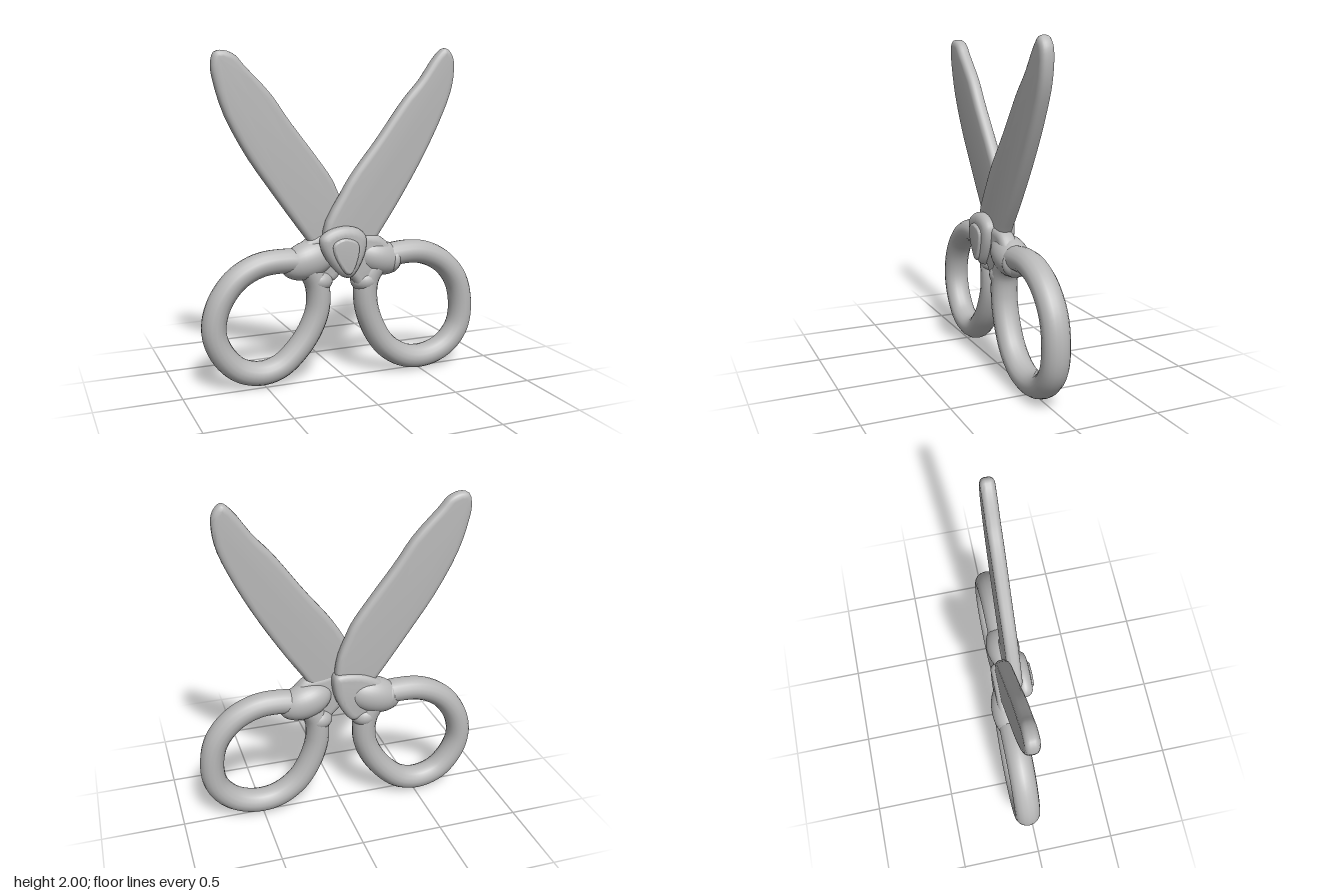
import * as THREE from 'three';
import { toCreasedNormals } from 'three/addons/utils/BufferGeometryUtils.js';

const metal = new THREE.MeshStandardMaterial({ color: 0xb8b8b8 });
metal.name = 'grey metal';

// Closed smooth curve through [x, y] pairs
const loop = (pts) => new THREE.CatmullRomCurve3(
  pts.map(([x, y]) => new THREE.Vector3(x, y, 0)), true, 'centripetal');

function add(group, name, geometry) {
  const mesh = new THREE.Mesh(geometry, metal);
  mesh.name = name;
  group.add(mesh);
  return mesh;
}

// Rounded plate filling the outline between z0 and z1
function plate(group, name, pts, z0, z1, round, bevel) {
  const outline = loop(pts).getPoints(56).slice(0, -1).map((p) => new THREE.Vector2(p.x, p.y));
  const geo = new THREE.ExtrudeGeometry(new THREE.Shape(outline), {
    depth: z1 - z0 - 2 * bevel, bevelThickness: bevel, bevelSize: round,
    bevelOffset: -round, bevelSegments: 4, steps: 1,
  });
  geo.translate(0, 0, z0 + bevel);
  return add(group, name, toCreasedNormals(geo, 1.1));
}

// Finger ring swept along a closed path
function ring(group, pts, z) {
  const geo = new THREE.TubeGeometry(loop(pts), 72, 0.073, 16, true);
  geo.scale(1, 1, 1.1);
  geo.translate(0, 0, z);
  return add(group, 'fingerRing', geo);
}

// Swollen joint between ring and blade
function lump(group, name, pos, size, tilt) {
  const mesh = add(group, name, new THREE.SphereGeometry(1, 28, 18));
  mesh.position.set(...pos);
  mesh.scale.set(...size);
  mesh.rotation.z = tilt;
  return mesh;
}

export function createModel() {
  const model = new THREE.Group();
  model.name = 'scissors';

  // Front half: blade leaning to +x
  const front = new THREE.Group();
  front.name = 'frontHalf';
  plate(front, 'blade', [
    [0.645, 2.0], [0.59, 1.96], [0.48, 1.81], [0.38, 1.7], [0.2, 1.46], [0.04, 1.26],
    [-0.03, 1.15], [-0.14, 0.94], [-0.12, 0.82], [0.0, 0.74], [0.13, 0.78], [0.2, 0.88],
    [0.33, 1.07], [0.49, 1.33], [0.62, 1.58], [0.69, 1.76], [0.705, 1.9], [0.69, 1.96],
  ], -0.015, 0.067, 0.035, 0.028);
  plate(front, 'shank', [
    [-0.08, 0.92], [0.1, 0.9], [0.21, 0.88], [0.29, 0.81], [0.36, 0.78], [0.33, 0.7],
    [0.2, 0.66], [0.08, 0.58], [0.03, 0.63], [-0.04, 0.7], [-0.12, 0.82],
  ], -0.02, 0.085, 0.04, 0.035);
  ring(front, [
    [0.8, 0.38], [0.765, 0.55], [0.66, 0.68], [0.52, 0.75], [0.37, 0.76], [0.24, 0.73],
    [0.15, 0.63], [0.135, 0.48], [0.18, 0.32], [0.27, 0.18], [0.4, 0.095], [0.54, 0.08],
    [0.68, 0.13], [0.775, 0.24],
  ], 0.015);
  lump(front, 'joint', [0.21, 0.745, 0.01], [0.17, 0.11, 0.105], -0.3);
  lump(front, 'collar', [0.31, 0.725, 0.02], [0.045, 0.085, 0.085], -0.15);
  lump(front, 'collar', [0.125, 0.61, 0.015], [0.085, 0.07, 0.085], 0.1);
  model.add(front);

  // Rear half: blade leaning to -x
  const rear = new THREE.Group();
  rear.name = 'rearHalf';
  plate(rear, 'blade', [
    [-0.71, 1.975], [-0.76, 1.965], [-0.78, 1.895], [-0.77, 1.815], [-0.715, 1.63],
    [-0.59, 1.39], [-0.44, 1.17], [-0.23, 0.88], [-0.14, 0.77], [-0.04, 0.76],
    [0.03, 0.87], [0.02, 1.02], [-0.03, 1.15], [-0.07, 1.235], [-0.175, 1.38],
    [-0.33, 1.58], [-0.44, 1.735], [-0.59, 1.89], [-0.645, 1.95],
  ], -0.08, 0, 0.035, 0.028);
  plate(rear, 'shank', [
    [0.04, 0.92], [-0.05, 0.93], [-0.17, 0.9], [-0.28, 0.83], [-0.36, 0.78], [-0.33, 0.68],
    [-0.22, 0.66], [-0.07, 0.61], [-0.01, 0.67], [0.045, 0.8],
  ], -0.105, 0.01, 0.04, 0.035);
  ring(rear, [
    [-0.8, 0.37], [-0.77, 0.52], [-0.67, 0.66], [-0.54, 0.735], [-0.4, 0.755], [-0.26, 0.735],
    [-0.17, 0.62], [-0.155, 0.46], [-0.21, 0.31], [-0.31, 0.18], [-0.41, 0.105],
    [-0.53, 0.083], [-0.66, 0.125], [-0.76, 0.24],
  ], -0.04);
  lump(rear, 'joint', [-0.21, 0.75, -0.043], [0.18, 0.115, 0.102], 0.3);
  lump(rear, 'collar', [-0.3, 0.735, -0.045], [0.05, 0.09, 0.085], 0.15);
  lump(rear, 'collar', [-0.15, 0.62, -0.04], [0.085, 0.07, 0.085], -0.1);
  model.add(rear);

  // Kite-shaped pivot with a raised centre
  const pivot = new THREE.Group();
  pivot.name = 'pivot';
  plate(pivot, 'pivotBase', [
    [-0.04, 0.96], [-0.14, 0.935], [-0.185, 0.89], [-0.165, 0.8], [-0.05, 0.66],
    [0.01, 0.65], [0.095, 0.78], [0.105, 0.89], [0.06, 0.94],
  ], 0.03, 0.125, 0.05, 0.045);
  plate(pivot, 'pivotBoss', [
    [-0.05, 0.895], [-0.115, 0.865], [-0.115, 0.81], [-0.035, 0.68],
    [-0.005, 0.68], [0.045, 0.81], [0.035, 0.865],
  ], 0.09, 0.14, 0.015, 0.015);
  model.add(pivot);

  return model;
}
